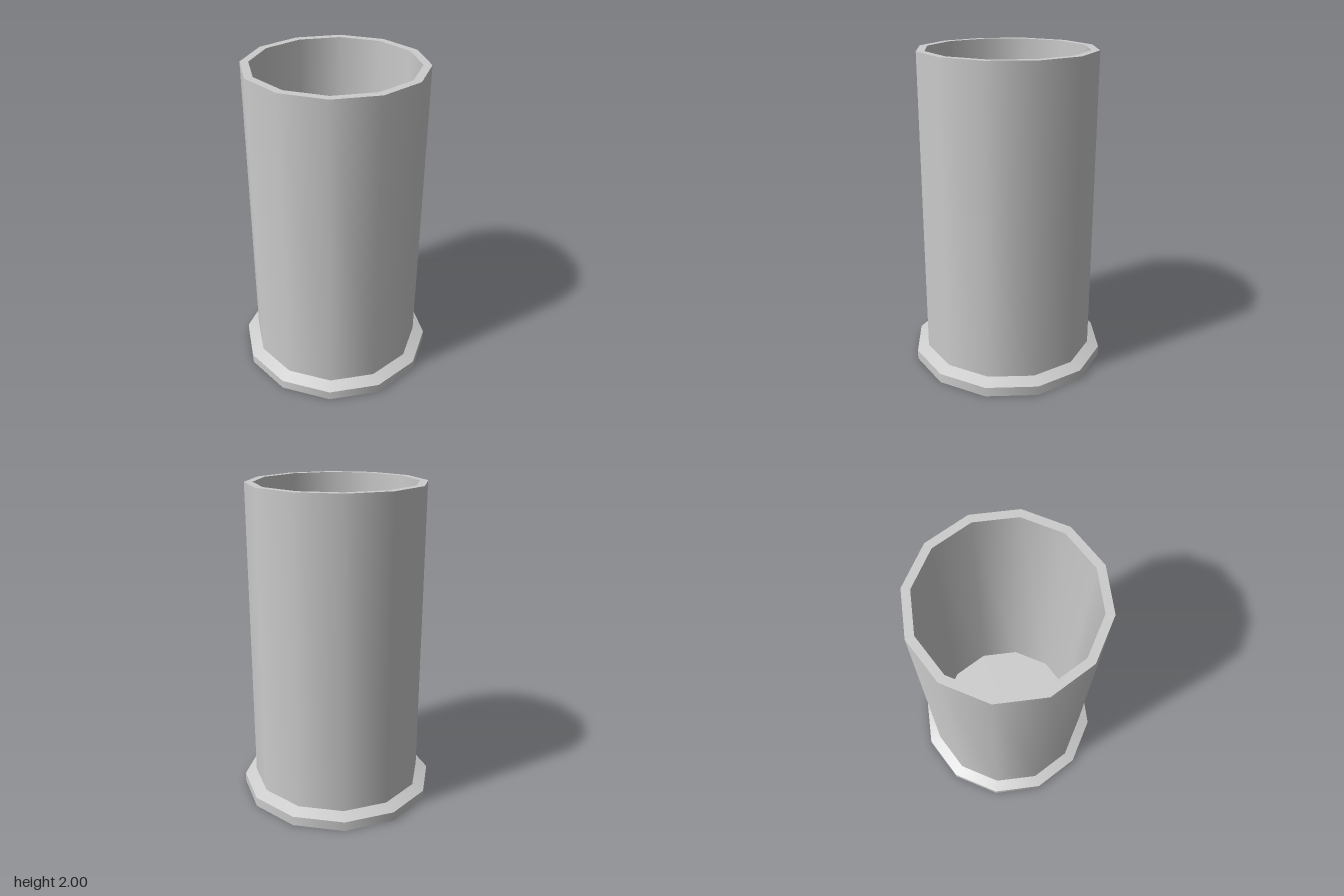
import * as THREE from 'three';
import { mergeGeometries } from 'three/addons/utils/BufferGeometryUtils.js';

const SIDES = 12;

// Revolve each profile segment on its own: smooth around, sharp between bands.
function revolve(name, profile, material) {
  const bands = [];
  for (let i = 0; i < profile.length - 1; i++) {
    const pair = [profile[i], profile[i + 1]].map(([r, y]) => new THREE.Vector2(r, y));
    bands.push(new THREE.LatheGeometry(pair, SIDES));
  }
  const mesh = new THREE.Mesh(mergeGeometries(bands), material);
  mesh.name = name;
  return mesh;
}

export function createModel() {
  const group = new THREE.Group();
  group.name = 'cup';
  const material = new THREE.MeshStandardMaterial({ color: 0xcccccc });

  const wall = 0.545, bore = 0.495, foot = 0.62;
  const footTop = 0.06, bevelTop = 0.09, floor = 0.06, height = 2;

  // Foot: flat underside, short rim and bevel up to the wall
  group.add(revolve('footFlange', [[0, 0], [foot, 0], [foot, footTop], [wall, bevelTop]], material));

  // Tube: outer wall, flat lip, inner wall and floor
  group.add(revolve('tube', [[wall, bevelTop], [wall, height], [bore, height], [bore, floor], [0, floor]], material));

  return group;
}
